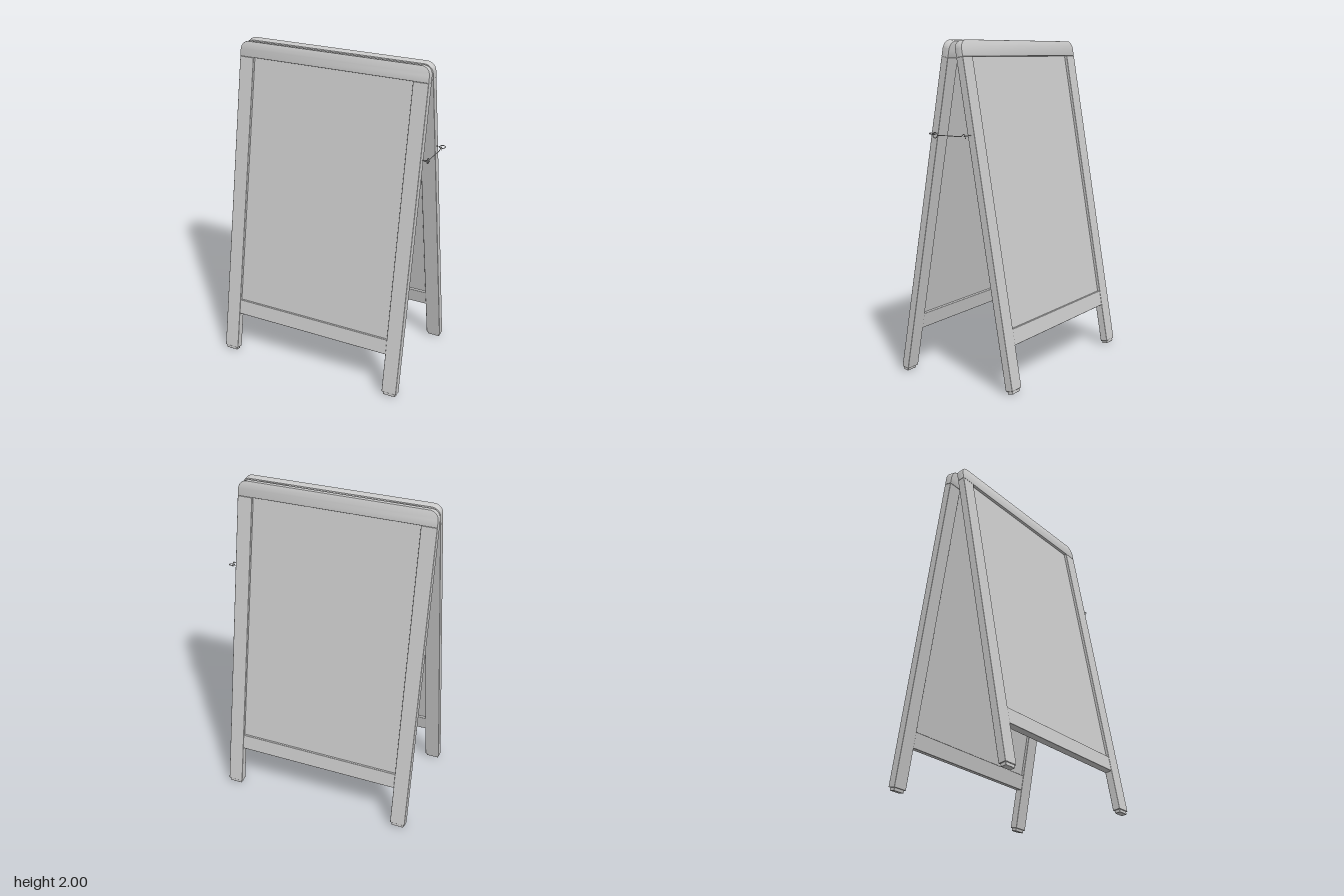
import * as THREE from 'three';
import { toCreasedNormals } from 'three/addons/utils/BufferGeometryUtils.js';
import { RoundedBoxGeometry } from 'three/addons/geometries/RoundedBoxGeometry.js';

const mat = new THREE.MeshStandardMaterial({ color: 0xcccccc });
const LEAN = THREE.MathUtils.degToRad(10);
const HALF_W = 0.615, LENGTH = 2.023, BAR = 0.095, THICK = 0.047;
const INNER = HALF_W - BAR;

function add(parent, name, geometry, x = 0, y = 0, z = 0) {
  const mesh = new THREE.Mesh(geometry, mat);
  mesh.name = name;
  mesh.position.set(x, y, z);
  parent.add(mesh);
  return mesh;
}

const bar = (w, h, d) => new RoundedBoxGeometry(w, h, d, 2, 0.004);

// Top rail: a bar with its two upper corners rounded
function topRailGeometry() {
  const b = 0.004, r = 0.05, w = HALF_W - b, h = BAR - b;
  const s = new THREE.Shape();
  s.moveTo(-w, b);
  s.lineTo(w, b);
  s.lineTo(w, h - r);
  s.absarc(w - r, h - r, r, 0, Math.PI / 2);
  s.lineTo(-w + r, h);
  s.absarc(-w + r, h - r, r, Math.PI / 2, Math.PI);
  s.closePath();
  const g = new THREE.ExtrudeGeometry(s, {
    depth: THICK - 2 * b, bevelEnabled: true, bevelThickness: b, bevelSize: b, bevelSegments: 2, curveSegments: 10,
  });
  g.translate(0, 0, -THICK / 2 + b);
  return toCreasedNormals(g, 0.6);
}

// One leaning board; local y runs up the legs, local +z faces outward
function makeBoard(name) {
  const board = new THREE.Group();
  board.name = name;
  const railY = LENGTH - BAR, footH = 0.018;
  for (const side of [-1, 1]) {
    const x = side * (HALF_W - BAR / 2);
    add(board, 'leg', bar(BAR, railY - footH, THICK), x, (railY + footH) / 2);
    add(board, 'foot', bar(BAR - 0.016, footH + 0.006, THICK - 0.012), x, (footH + 0.006) / 2);
    add(board, 'hingeLeaf', new THREE.BoxGeometry(0.175, 0.05, 0.004), side * 0.395, LENGTH - 0.04, -THICK / 2 - 0.001);
  }
  add(board, 'topRail', topRailGeometry(), 0, railY);
  add(board, 'bottomRail', bar(2 * INNER + 0.004, 0.096, THICK - 0.003), 0, 0.312);
  add(board, 'panel', new THREE.BoxGeometry(2 * INNER + 0.004, railY - 0.34, 0.013), 0, (railY + 0.35) / 2, 0);
  return board;
}

// Screw eye on the side of a leg, its ring square to the leg
function makeEye(name, x, z, lean) {
  const eye = new THREE.Group();
  eye.name = name;
  const ring = add(eye, 'ring', new THREE.TorusGeometry(0.017, 0.0025, 8, 28));
  ring.rotation.x = Math.PI / 2;
  const stemLength = 0.622 - 0.017 - x + 0.01;
  const stem = add(eye, 'stem', new THREE.CylinderGeometry(0.0025, 0.0025, stemLength, 8), -0.017 - stemLength / 2);
  stem.rotation.z = Math.PI / 2;
  eye.position.set(0.622, 1.47, z);
  eye.rotation.x = lean;
  return eye;
}

export function createModel() {
  const model = new THREE.Group();
  model.name = 'sandwichBoard';

  // Front and back boards
  const front = makeBoard('frontBoard');
  front.position.set(-0.02, 0.004, 0.38);
  front.rotation.x = -LEAN;
  const backTilt = makeBoard('backBoard');
  backTilt.rotation.x = -LEAN;
  const back = new THREE.Group();
  back.name = 'backHalf';
  back.rotation.y = Math.PI;
  back.position.set(-0.03, 0.004, -0.386);
  back.add(backTilt);
  model.add(front, back);

  // Hinge barrels in the gap at the top
  for (const side of [-1, 1]) {
    const barrel = add(model, 'hingeBarrel', new THREE.CylinderGeometry(0.007, 0.007, 0.175, 12), -0.025 + side * 0.4, 1.981, -0.003);
    barrel.rotation.z = Math.PI / 2;
  }

  // Side catch: two screw eyes and a wire hook between them
  model.add(makeEye('frontEye', 0.595, 0.12, -LEAN), makeEye('backEye', 0.585, -0.127, LEAN));
  const loop = add(model, 'hookLoop', new THREE.TorusGeometry(0.016, 0.0025, 8, 28), 0.622, 1.463, 0.099);
  loop.rotation.y = Math.PI / 2;
  const path = new THREE.CatmullRomCurve3([
    [0.083, 1.463], [0, 1.464], [-0.085, 1.465], [-0.096, 1.472], [-0.104, 1.477], [-0.112, 1.472], [-0.116, 1.452],
  ].map(([z, y]) => new THREE.Vector3(0.622, y, z)));
  add(model, 'hookRod', new THREE.TubeGeometry(path, 48, 0.0025, 8));

  return model;
}
